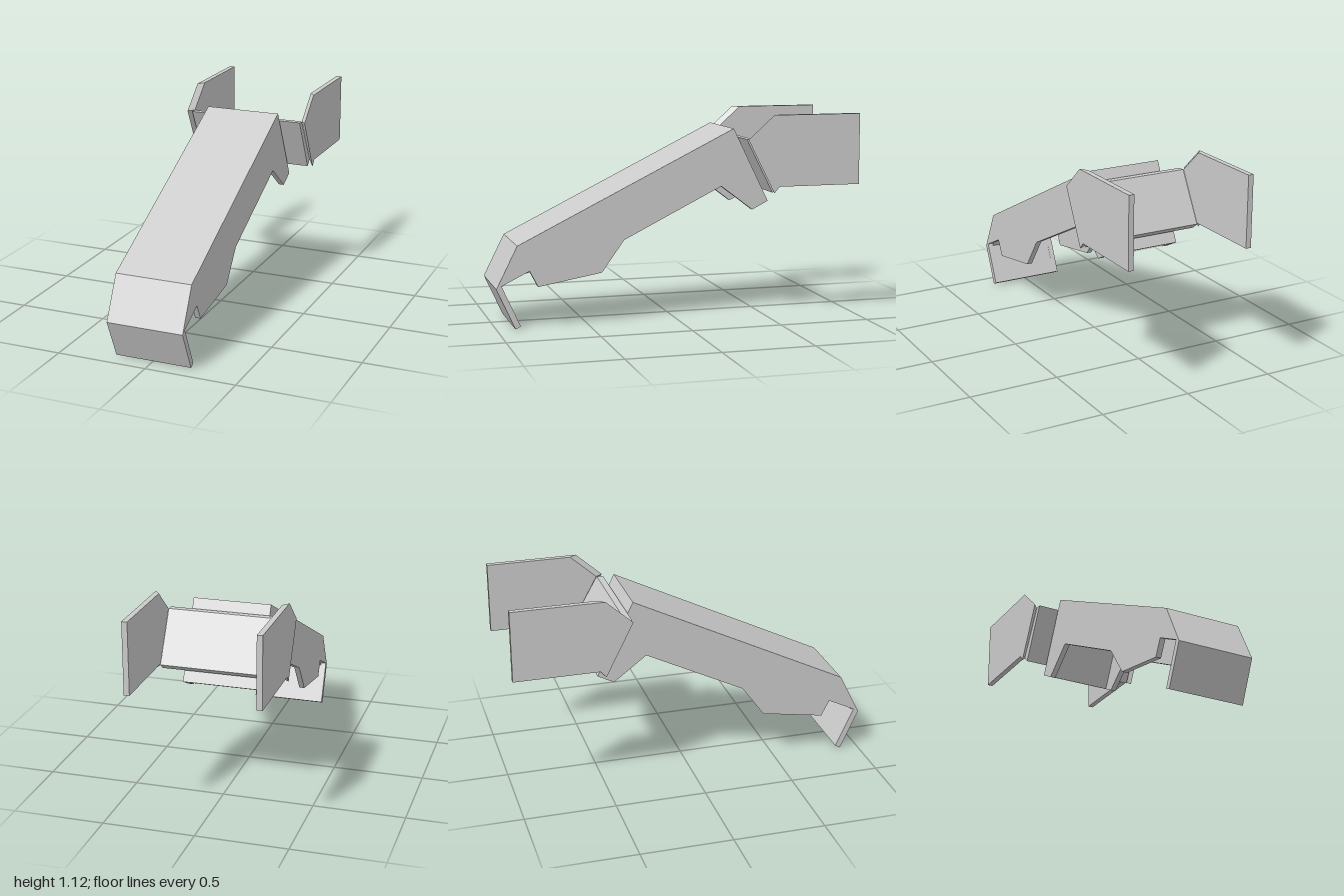
import * as THREE from 'three';

const material = new THREE.MeshStandardMaterial({ color: 0xcccccc, flatShading: true });

// Extrude a [z, y] side profile across x, centred on xCentre
function slab(name, profile, width, xCentre = 0) {
  const shape = new THREE.Shape(profile.map(([z, y]) => new THREE.Vector2(z, y)));
  const geometry = new THREE.ExtrudeGeometry(shape, { depth: width, bevelEnabled: false });
  geometry.translate(0, 0, -width / 2).rotateY(-Math.PI / 2).translate(xCentre, 0, 0);
  const mesh = new THREE.Mesh(geometry, material);
  mesh.name = name;
  return mesh;
}

export function createModel() {
  const model = new THREE.Group();
  model.name = 'bracketArm';
  const arm = new THREE.Group();
  arm.name = 'channelArm';
  const fork = new THREE.Group();
  fork.name = 'rearFork';
  model.add(arm, fork);

  const armHalf = 0.213, forkHalf = 0.36, wall = 0.03;

  // Bent sheet: lip, nose, top and closed rear end
  arm.add(slab('bentSheet', [
    [0.9, 0], [1, 0.221], [0.885, 0.45], [-0.32, 1.045], [-0.52, 0.64],
    [-0.493, 0.627], [-0.306, 1.005], [0.845, 0.41], [0.967, 0.224], [0.871, 0.015],
  ], 2 * (armHalf - wall)));

  // Side walls with the notched lower edge, open underneath
  const wallProfile = [
    [0.9, 0], [1, 0.221], [0.885, 0.45], [-0.32, 1.045], [-0.52, 0.64],
    [-0.43, 0.594], [-0.25, 0.73], [0.3, 0.457], [0.425, 0.284], [0.775, 0.224],
    [0.82, 0.312], [0.972, 0.237], [0.871, 0.015],
  ];
  // Cross plate of the fork, just behind the arm's end
  fork.add(slab('crossPlate', [
    [-0.355, 0.995], [-0.39, 0.995], [-0.54, 0.73], [-0.505, 0.7],
  ], 2 * (forkHalf - wall)));

  const prongProfile = [
    [-0.355, 0.995], [-0.5, 1.125], [-1, 1.125], [-1, 0.735], [-0.535, 0.735], [-0.505, 0.7],
  ];
  for (const [side, s] of [['left', 1], ['right', -1]]) {
    arm.add(slab(side + 'Wall', wallProfile, wall, s * (armHalf - wall / 2)));

    // Prong whose inner front edges are set back to form the mitred corner
    const prong = slab(side + 'Prong', prongProfile, wall, s * (forkHalf - wall / 2));
    const p = prong.geometry.attributes.position;
    for (let i = 0; i < p.count; i++) {
      if (Math.abs(p.getX(i)) < forkHalf - wall / 2 && p.getZ(i) > -0.9) {
        p.setZ(i, Math.max(p.getZ(i) - 0.038, -0.54));
        p.setY(i, Math.max(p.getY(i), 0.73));
      }
    }
    prong.geometry.computeVertexNormals();
    fork.add(prong);
  }
  return model;
}
